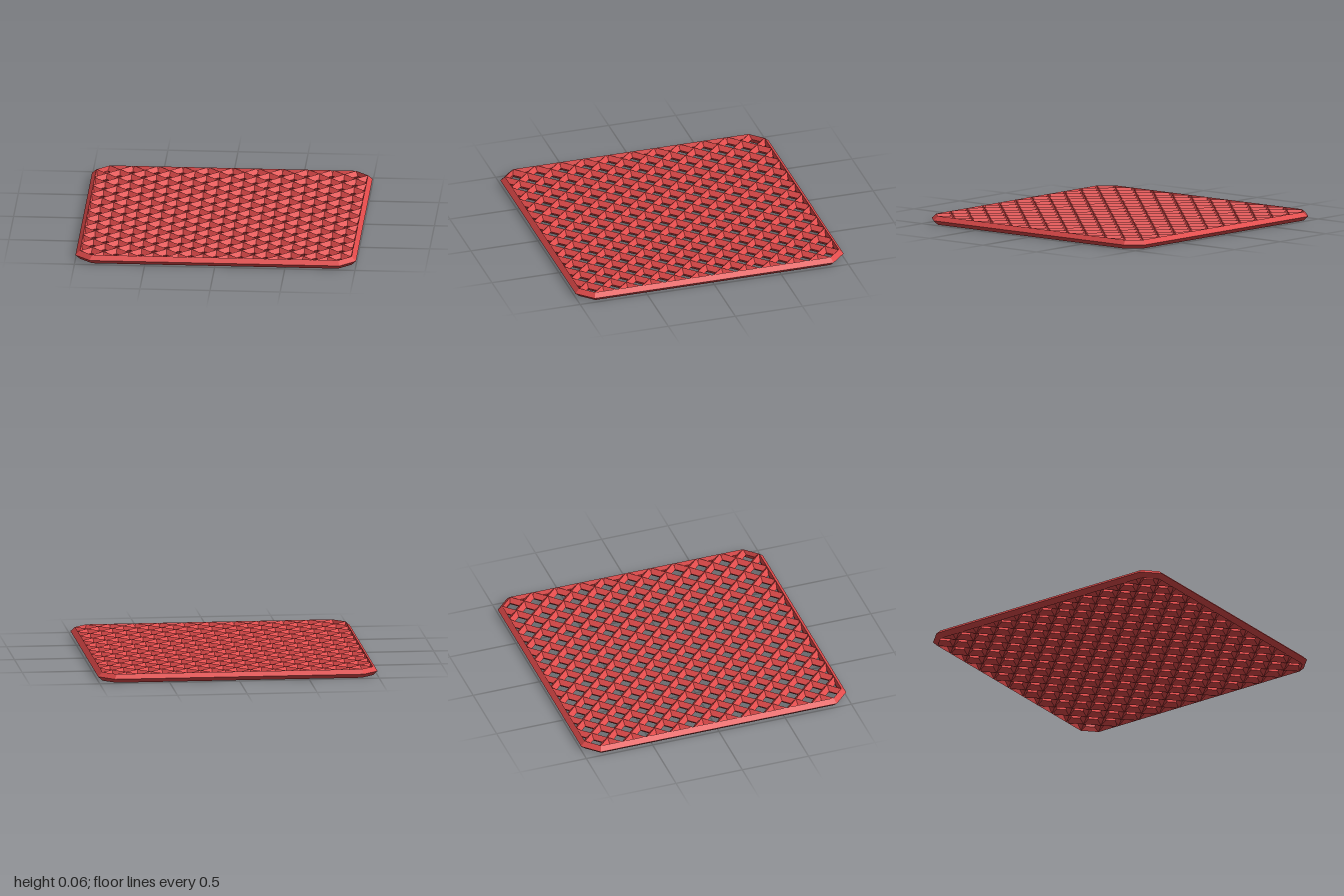
import * as THREE from 'three';

const MID = 0.031; // half the panel thickness
const STEP = 0.0888; // half the diagonal of a lattice cell
const material = new THREE.MeshStandardMaterial({ color: 0xe04a4a, flatShading: true });

// Octagon ring, inset by d from the outer edge, at height y
function octagon(d, y) {
  const e = 1 - d;
  const c = 0.89 - d * Math.tan(Math.PI / 8);
  return [[e, c], [c, e], [-c, e], [-e, c], [-e, -c], [-c, -e], [c, -e], [e, -c]]
    .map(([x, z]) => new THREE.Vector3(x, y, z));
}

// Bevelled border swept around the octagon
function createFrame() {
  const rings = [[0, MID], [0.032, 2 * MID], [0.043, MID], [0.032, 0]].map(([d, y]) => octagon(d, y));
  const points = [];
  rings.forEach((ring, r) => {
    const next = rings[(r + 1) % rings.length];
    for (let i = 0; i < 8; i++) {
      const j = (i + 1) % 8;
      points.push(ring[i], next[i], ring[j], ring[j], next[i], next[j]);
    }
  });
  const geometry = new THREE.BufferGeometry().setFromPoints(points);
  geometry.computeVertexNormals();
  const mesh = new THREE.Mesh(geometry, material);
  mesh.name = 'frame';
  return mesh;
}

// Diamond-section bar from (x0, z0) to (x1, z1)
function createBar(x0, z0, x1, z1) {
  const geometry = new THREE.CylinderGeometry(1, 1, Math.hypot(x1 - x0, z1 - z0), 4);
  geometry.rotateX(Math.PI / 2);
  geometry.scale(0.03, MID, 1);
  const bar = new THREE.Mesh(geometry, material);
  bar.position.set((x0 + x1) / 2, MID, (z0 + z1) / 2);
  bar.rotation.y = Math.atan2(x1 - x0, z1 - z0);
  bar.name = 'latticeBar';
  return bar;
}

export function createModel() {
  const model = new THREE.Group();
  model.name = 'latticePanel';
  model.add(createFrame());

  // Two crossing sets of 45 degree bars, ending under the frame's ridge
  const lattice = new THREE.Group();
  lattice.name = 'lattice';
  const edge = 0.966;
  for (let k = -19; k <= 19; k += 2) {
    const c = k * STEP;
    const a = Math.max(-edge, c - edge), b = Math.min(edge, c + edge);
    lattice.add(createBar(a, c - a, b, c - b)); // x + z = c
    lattice.add(createBar(a, a - c, b, b - c)); // x - z = c
  }
  model.add(lattice);
  return model;
}
